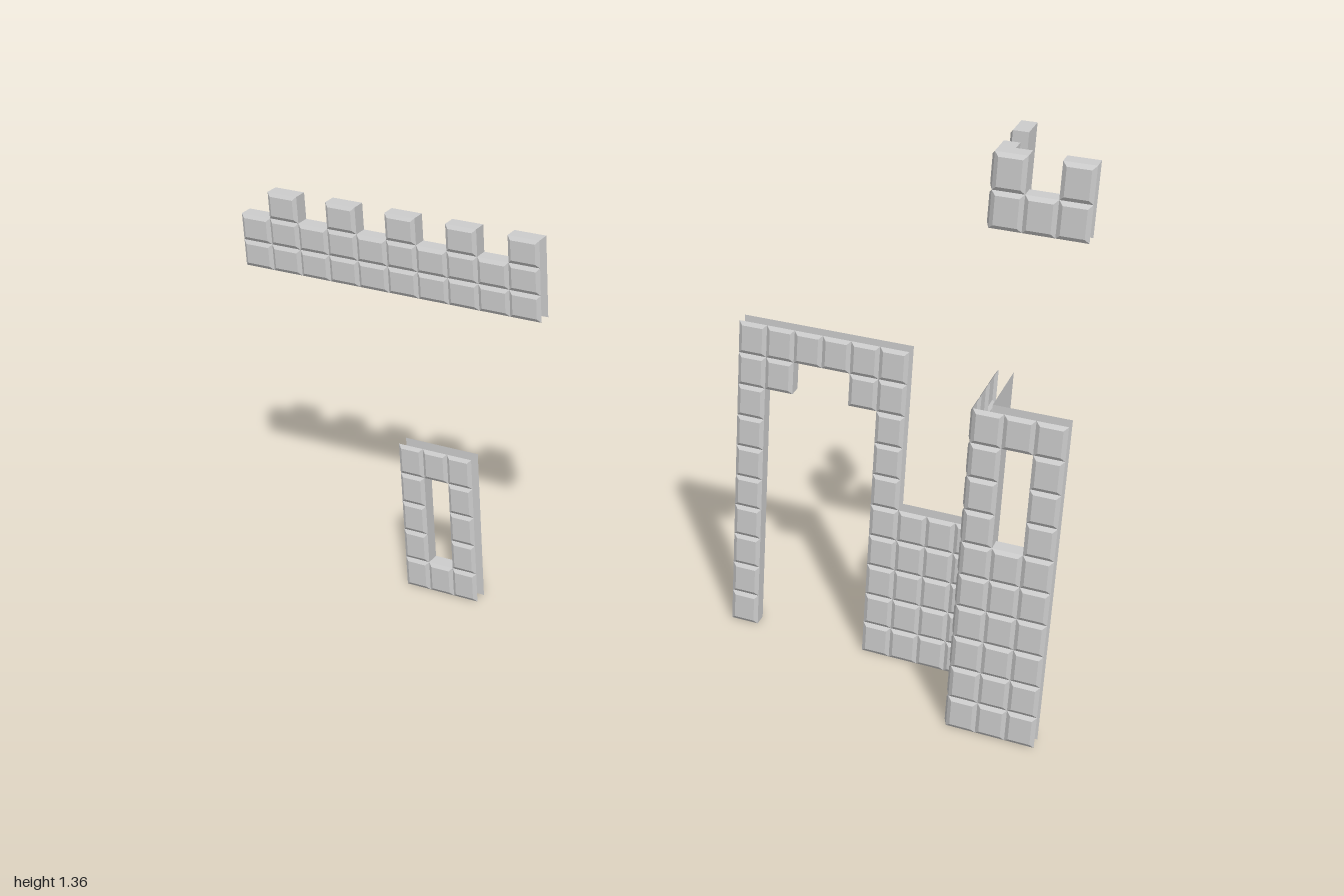
import * as THREE from 'three';

const THICK = 0.033;  // back sheet to brick joints
const BUMP = 0.006;   // how far each brick stands proud
const BEVEL = 0.009;
const CELL = 0.2 / 3;

const material = new THREE.MeshStandardMaterial({ color: 0xcccccc, side: THREE.DoubleSide, flatShading: true });

// Mesh from a list of four-cornered faces (corners counter-clockwise from outside).
function quadMesh(name, quads) {
  const pos = [];
  for (const [a, b, c, d] of quads) pos.push(...a, ...b, ...c, ...a, ...c, ...d);
  const geo = new THREE.BufferGeometry();
  geo.setAttribute('position', new THREE.Float32BufferAttribute(pos, 3));
  geo.computeVertexNormals();
  const mesh = new THREE.Mesh(geo, material);
  mesh.name = name;
  return mesh;
}

// Hollow brick panel: raised bricks in front, a flat sheet behind, and reveals
// around openings. Outer edges stay open, except the top when capTop is set.
// The local origin is the lower left corner in the plane of the brick joints.
function brickPanel(name, { cols, rows, w = CELL, h = 0.08, solid = () => true, capTop = false, trimL = 0, trimR = 0 }) {
  const bricks = [], back = [], reveals = [];
  const inside = (c, r) => c >= 0 && c < cols && r >= 0 && r < rows;
  const filled = (c, r) => inside(c, r) && solid(c, r);
  const open = (c, r) => (inside(c, r) && !solid(c, r)) || (capTop && r === rows);
  // Back corners are mitred where two panels meet.
  const behind = (p) => [THREE.MathUtils.clamp(p[0], trimL, cols * w - trimR), p[1], -THICK];

  for (let c = 0; c < cols; c++) for (let r = 0; r < rows; r++) {
    if (!filled(c, r)) continue;
    const x0 = c * w, x1 = x0 + w, y0 = r * h, y1 = y0 + h;
    const base = [[x0, y0, 0], [x1, y0, 0], [x1, y1, 0], [x0, y1, 0]];
    const face = [
      [x0 + BEVEL, y0 + BEVEL, BUMP], [x1 - BEVEL, y0 + BEVEL, BUMP],
      [x1 - BEVEL, y1 - BEVEL, BUMP], [x0 + BEVEL, y1 - BEVEL, BUMP],
    ];
    const neighbours = [[c, r - 1], [c + 1, r], [c, r + 1], [c - 1, r]];
    bricks.push(face);
    back.push(base.map(behind).reverse());
    for (let i = 0; i < 4; i++) {
      const j = (i + 1) % 4;
      bricks.push([base[i], base[j], face[j], face[i]]);
      if (open(...neighbours[i])) reveals.push([base[j], base[i], behind(base[i]), behind(base[j])]);
    }
  }
  const group = new THREE.Group();
  group.name = name;
  group.add(quadMesh('bricks', bricks), quadMesh('backSheet', back));
  if (reveals.length) group.add(quadMesh('reveals', reveals));
  return group;
}

// Two panels meeting at a right angle: one faces +z, the other -x.
function cornerPanels(name, y, options) {
  const group = new THREE.Group();
  group.name = name;
  const front = brickPanel('frontPanel', { cols: 3, trimL: THICK, ...options });
  front.position.set(0.8, y, 0.114);
  const side = brickPanel('sidePanel', { cols: 3, trimR: THICK, ...options });
  side.rotation.y = -Math.PI / 2;
  side.position.set(0.8, y, -0.086);
  group.add(front, side);
  return group;
}

export function createModel() {
  const model = new THREE.Group();
  model.name = 'castleWallParts';
  const place = (part, x, y, z) => {
    part.position.set(x, y, z);
    model.add(part);
  };

  // Battlement strip with merlons on every second column
  place(brickPanel('battlement', {
    cols: 10, rows: 3, w: 0.08, h: CELL, capTop: true,
    solid: (c, r) => r < 2 || c % 2 === 1,
  }), -1, 0.8, 0.114);

  // Small window frame
  place(brickPanel('windowPanel', {
    cols: 3, rows: 5, solid: (c, r) => c !== 1 || r === 0 || r === 4,
  }), -0.6, 0, 0.114);

  // Gateway with a stepped arch
  place(brickPanel('gateway', {
    cols: 6, rows: 10,
    solid: (c, r) => c === 0 || c === 5 || r === 9 || (r === 8 && (c === 1 || c === 4)),
  }), 0.2, 0, -0.087);

  // Low wall joining the gateway to the tower
  place(brickPanel('lowWall', { cols: 3, rows: 5 }), 0.6, 0, -0.087);

  // Tower corner with a tall window in each face
  model.add(cornerPanels('towerCorner', 0, {
    rows: 10, solid: (c, r) => c !== 1 || r < 6 || r > 8,
  }));

  // Tower crown with corner merlons
  model.add(cornerPanels('towerCrown', 1.2, {
    rows: 2, capTop: true, solid: (c, r) => r === 0 || c !== 1,
  }));

  return model;
}
